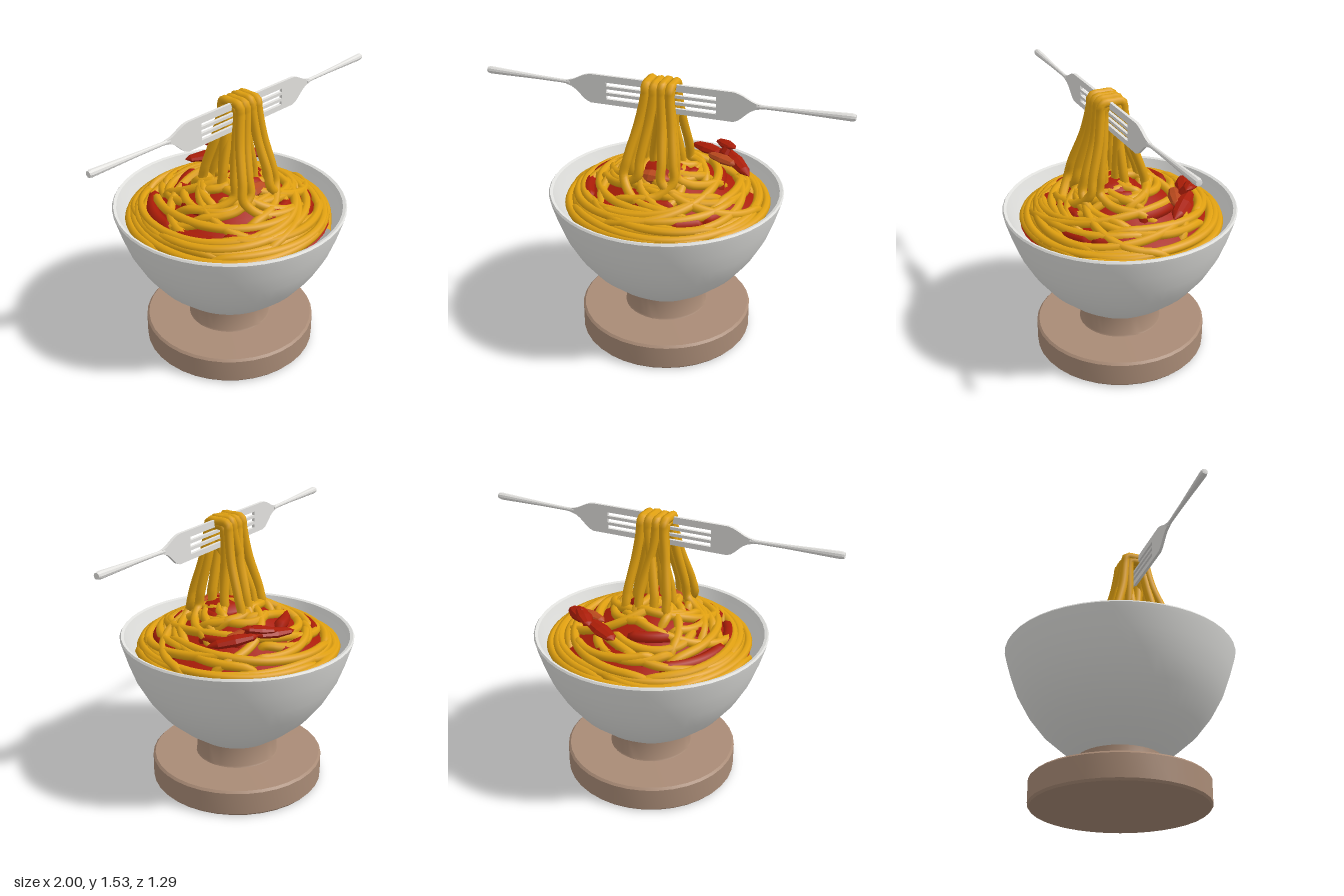
import * as THREE from 'three';
import { toCreasedNormals } from 'three/addons/utils/BufferGeometryUtils.js';

const mat = (name, color) => {
  const m = new THREE.MeshStandardMaterial({ color });
  m.name = name;
  return m;
};

export function createModel() {
  const model = new THREE.Group();
  model.name = 'noodleBowl';
  const porcelain = mat('porcelain', 0xe0e0dd);
  const clay = mat('brownClay', 0xa98b76);
  const steel = mat('steel', 0xe2e1de);
  const pasta = mat('pasta', 0xe0a010);
  const sauceRed = mat('sauceRed', 0xaa1d08);
  const chunkOrange = mat('chunkOrange', 0xb9491d);

  const add = (name, geo, material, parent = model) => {
    const mesh = new THREE.Mesh(geo, material);
    mesh.name = name;
    parent.add(mesh);
    return mesh;
  };
  const lathe = (pts, sides) => toCreasedNormals(
    new THREE.LatheGeometry(pts.map(([x, y]) => new THREE.Vector2(x, y)), sides), 0.6);
  let seed = 11;
  const rnd = () => (seed = (seed * 16807) % 2147483647) / 2147483647;

  // Pedestal
  add('pedestal', lathe([[0, 0], [0.475, 0], [0.485, 0.012], [0.485, 0.138], [0.473, 0.15],
    [0.235, 0.152], [0.23, 0.16], [0.23, 0.29], [0, 0.29]], 36), clay);

  // Bowl: outer wall up, over the rim and down the inside
  add('bowl', lathe([[0, 0.25], [0.19, 0.25], [0.235, 0.275], [0.33, 0.345], [0.43, 0.435], [0.51, 0.54],
    [0.57, 0.65], [0.61, 0.76], [0.637, 0.85], [0.643, 0.875], [0.636, 0.885], [0.62, 0.88],
    [0.598, 0.82], [0.578, 0.77], [0.54, 0.68], [0.46, 0.54], [0.33, 0.41], [0, 0.36]], 48), porcelain);

  // Mound height by distance from the centre
  const profile = [[0, 1.03], [0.1, 1.025], [0.2, 0.99], [0.3, 0.935], [0.44, 0.86], [0.52, 0.82], [0.55, 0.8]];
  const height = (x, z) => {
    const r = Math.min(0.549, Math.hypot(x, z));
    const i = Math.max(1, profile.findIndex(p => p[0] >= r));
    const [r0, y0] = profile[i - 1], [r1, y1] = profile[i];
    return y0 + (y1 - y0) * (r - r0) / (r1 - r0);
  };
  add('sauce', lathe(profile.map(([r, y]) => [r, y + 0.002]).reverse(), 36), sauceRed);

  // Strands and smears follow paths over the mound
  const noodles = new THREE.Group();
  noodles.name = 'noodles';
  model.add(noodles);
  const noodle = (name, pts, segments, radius = 0.025, material = pasta) => add(name, new THREE.TubeGeometry(
    new THREE.CatmullRomCurve3(pts.map(p => new THREE.Vector3(...p))), segments, radius, 8), material, noodles);

  // An arc laid over the mound, with both ends tucked under
  const arc = (cx, cz, R, start, sweep, lift) => {
    const pts = [], n = 16;
    for (let i = 0; i <= n; i++) {
      const a = start + sweep * i / n, wob = 1 + 0.012 * Math.sin(3 * a + start);
      const x = cx + R * wob * Math.cos(a), z = cz + R * wob * Math.sin(a);
      const end = Math.min(i, n - i);
      pts.push([x, height(x, z) + (end === 0 ? -0.05 : end === 1 ? lift * 0.3 : lift), z]);
    }
    return pts;
  };
  for (let i = 0; i < 5; i++) {
    noodle('rimNoodle', arc(0, 0, 0.48 + 0.016 * i, i * 2.3, 4.4, 0.004 + 0.004 * (i % 3)), 60);
  }
  for (let i = 0; i < 22; i++) {
    const R = 0.2 + 0.26 * rnd();
    const off = (0.535 - R) * (0.35 + 0.65 * rnd()), dir = i * 2.4;
    noodle('swirlNoodle', arc(off * Math.cos(dir), off * Math.sin(dir), R,
      rnd() * 6.28, 1.8 + 1.8 * rnd(), 0.006 + 0.022 * rnd()), 44);
  }
  // Smaller coils around the crown
  for (let i = 0; i < 5; i++) {
    const dir = i * 1.257 + 0.4, off = 0.06 + 0.02 * (i % 4);
    noodle('crownNoodle', arc(off * Math.cos(dir), off * Math.sin(dir), 0.14 + 0.025 * (i % 4),
      dir - 1.4, 2.8, 0.01 + 0.004 * (i % 3)), 36);
  }

  // Sauce smears showing between the noodles: radius, start and end in degrees
  [[0.42, 182, 238], [0.385, 248, 290], [0.26, 222, 268], [0.3, 325, 362], [0.42, 12, 42], [0.43, 145, 176],
    [0.28, 148, 192], [0.33, 66, 98], [0.4, 112, 138], [0.17, 5, 65], [0.43, 48, 66]].forEach(([R, a, b]) => {
    noodle('sauceSmear', arc(0, 0, R, a * Math.PI / 180, (b - a) * Math.PI / 180, 0.003), 24, 0.034, sauceRed);
  });

  // Lifted strands: each drapes over the forks, then its feet curl into the mound
  const foot = (x, z, turn) => {
    const r = Math.hypot(x, z), a = Math.atan2(z, x);
    return [1, 2, 3, 4].map(k => {
      const rr = r + 0.03 * k, b = a + turn * k * 0.3;
      const px = rr * Math.cos(b), pz = rr * Math.sin(b);
      return [px, height(px, pz) + (k === 4 ? -0.04 : 0.02), pz];
    });
  };
  const strand = (x, top, front, back, zf, zb, xf, xb, turn) => noodle('liftedNoodle', [
    ...foot(xf, front, turn).reverse(),
    [xf, 1.03, front], [xf * 0.85 + x * 0.15, 1.12, front * 0.8 + zf * 0.2],
    [xf * 0.35 + x * 0.65, 1.3, front * 0.25 + zf * 0.75],
    [x, top - 0.05, zf], [x, top - 0.012, zf - 0.004], [x, top, zf - 0.018], [x, top, (zf + zb) / 2],
    [x, top, zb + 0.018], [x, top - 0.012, zb + 0.004], [x, top - 0.05, zb],
    [xb * 0.35 + x * 0.65, 1.3, back * 0.25 + zb * 0.75],
    [xb * 0.85 + x * 0.15, 1.12, back * 0.8 + zb * 0.2], [xb, 1.03, back],
    ...foot(xb, back, turn),
  ], 100);
  [-0.066, -0.022, 0.022, 0.066].forEach((x, i) => {
    strand(x, 1.508 - 0.004 * (i % 2), 0.245 - 0.02 * (i % 2), -0.08 - 0.02 * (i % 2), 0.138, 0.008,
      [-0.15, -0.08, 0.06, 0.12][i], [-0.13, 0.04, -0.06, 0.11][i], i % 2 ? 1 : -1);
    strand(x * 0.95, 1.485, 0.17 - 0.05 * (i % 3), 0.02 + 0.03 * (i % 2), 0.118, 0.035,
      [-0.14, 0.07, -0.05, 0.12][i], [-0.08, -0.11, 0.1, 0.05][i], i % 2 ? -1 : 1);
  });

  // Two forks meeting tine to tine
  const fork = (angle) => {
    const g = new THREE.Group();
    g.name = 'fork';
    g.position.set(0, 1.435, 0.09);
    g.rotation.y = angle;
    const s = new THREE.Shape();
    s.moveTo(0, -0.079);
    s.lineTo(0.39, -0.079);
    s.bezierCurveTo(0.44, -0.07, 0.46, 0.0, 0.53, 0.008);
    s.lineTo(0.53, 0.028);
    s.bezierCurveTo(0.47, 0.035, 0.45, 0.07, 0.39, 0.079);
    s.lineTo(0, 0.079);
    for (const y of [0.032, -0.004, -0.04]) {
      s.lineTo(0, y + 0.01);
      s.lineTo(0.3, y + 0.01);
      s.lineTo(0.3, y - 0.01);
      s.lineTo(0, y - 0.01);
    }
    s.closePath();
    const head = new THREE.ExtrudeGeometry(s, { depth: 0.016, bevelEnabled: false, curveSegments: 6 });
    head.translate(0, 0, -0.008);
    add('forkHead', toCreasedNormals(head, 0.6), steel, g);
    const handle = add('forkHandle', lathe([[0, 0], [0.012, 0], [0.01, 0.05], [0.012, 0.2], [0.018, 0.4],
      [0.02, 0.47], [0.016, 0.487], [0, 0.49]], 10), steel, g);
    handle.position.set(0.51, 0.018, 0);
    handle.rotation.z = -Math.PI / 2 + 0.02;
    model.add(g);
  };
  fork(0);
  fork(Math.PI);

  // Tomato pieces: flattened pointed slivers from one point to another
  const sliver = (name, a, b, width, thick, material) => {
    const p = new THREE.Vector3(...a), q = new THREE.Vector3(...b), len = p.distanceTo(q);
    const m = add(name, lathe([[0, -0.5], [0.32, -0.38], [0.5, -0.05], [0.38, 0.28], [0, 0.5]], 8), material);
    const y = q.clone().sub(p).normalize();
    const x = new THREE.Vector3().crossVectors(y, new THREE.Vector3(0, 1, 0)).normalize();
    m.quaternion.setFromRotationMatrix(new THREE.Matrix4().makeBasis(x, y, new THREE.Vector3().crossVectors(x, y)));
    m.position.copy(p).add(q).multiplyScalar(0.5);
    m.scale.set(width, len, thick);
  };
  sliver('tomatoSliver', [0.03, 0.985, -0.38], [0.26, 1.0, -0.25], 0.1, 0.05, sauceRed);
  sliver('tomatoSliver', [0.18, 1.03, -0.37], [0.32, 1.055, -0.23], 0.08, 0.04, sauceRed);
  sliver('tomatoSliver', [0.25, 1.01, -0.3], [0.44, 0.965, -0.1], 0.09, 0.06, sauceRed);
  sliver('tomatoSliver', [0.23, 0.96, -0.23], [0.28, 1.07, -0.28], 0.08, 0.05, sauceRed);
  sliver('tomatoChunk', [0.16, 1.0, -0.24], [0.37, 0.99, -0.16], 0.08, 0.05, chunkOrange);

  // Sauce heap under the lifted strands, with a tomato piece in front
  const heap = add('sauceHeap', new THREE.SphereGeometry(1, 16, 10), sauceRed);
  heap.scale.set(0.14, 0.06, 0.13);
  heap.position.set(0.02, 1.015, 0.06);
  sliver('tomatoChunk', [-0.12, 1.015, 0.17], [0.1, 1.02, 0.19], 0.1, 0.08, chunkOrange);
  return model;
}
